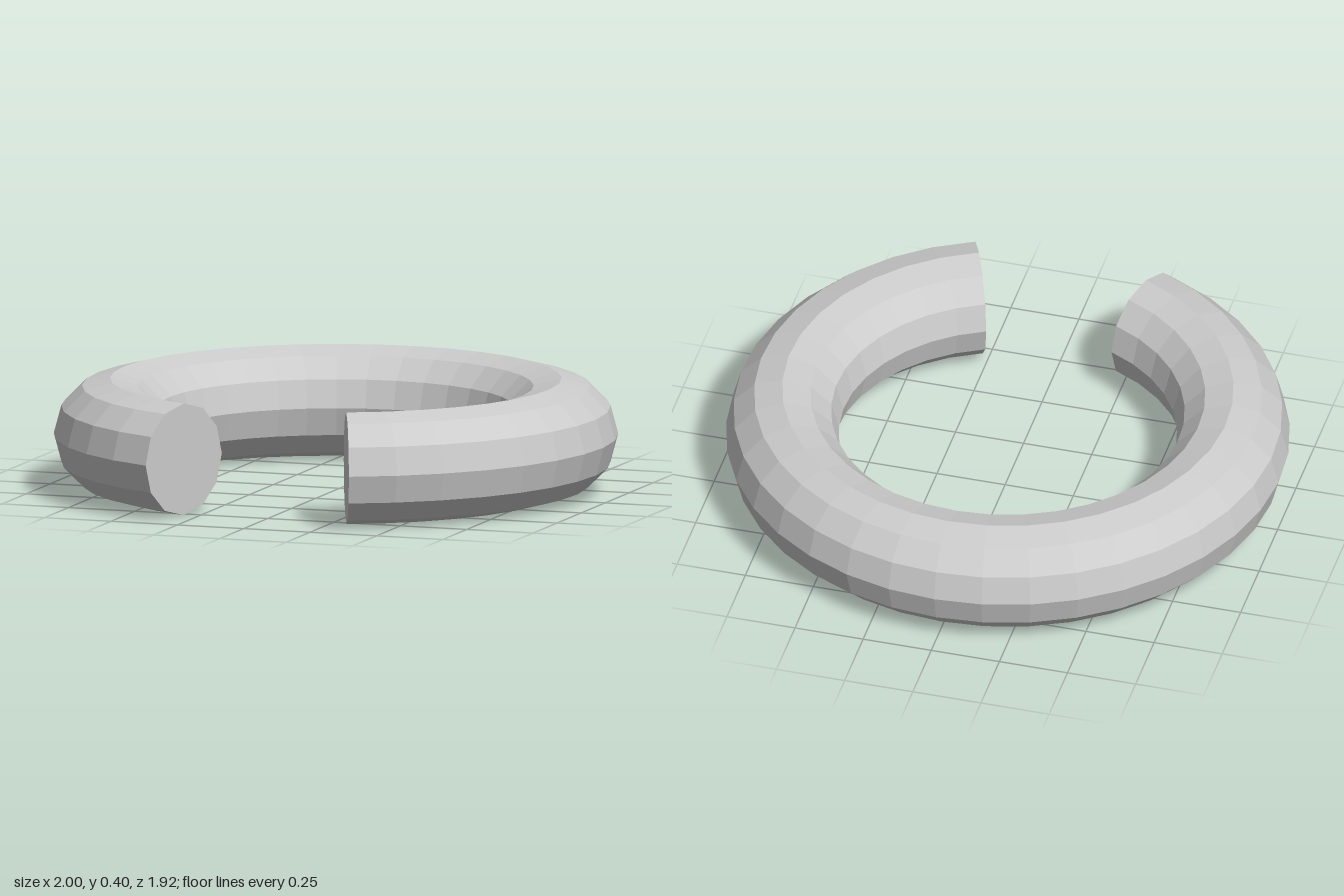
import * as THREE from 'three';

const RING = 0.8, TUBE = 0.2, SIDES = 12, SEGMENTS = 32;
const HALF_GAP = Math.PI / 8;
const CENTER_Z = 0.038;

export function createModel() {
  const group = new THREE.Group();
  group.name = 'openRing';
  const material = new THREE.MeshStandardMaterial({ color: 0xcccccc, flatShading: true });

  // Ring lying flat, with its gap centred on the front
  const arc = Math.PI * 2 - HALF_GAP * 2;
  const ringGeometry = new THREE.TorusGeometry(RING, TUBE, SIDES, SEGMENTS, arc)
    .rotateZ(Math.PI / 2 + HALF_GAP)
    .rotateX(Math.PI / 2);
  const ring = new THREE.Mesh(ringGeometry, material);
  ring.name = 'ring';
  ring.position.set(0, TUBE, CENTER_Z);
  group.add(ring);

  // Flat end caps facing into the gap
  for (const side of [1, -1]) {
    const angle = side * HALF_GAP;
    const cap = new THREE.Mesh(new THREE.CircleGeometry(TUBE, SIDES), material);
    cap.name = side > 0 ? 'leftEndCap' : 'rightEndCap';
    cap.position.set(RING * Math.sin(angle), TUBE, CENTER_Z + RING * Math.cos(angle));
    cap.rotation.y = angle - side * Math.PI / 2;
    group.add(cap);
  }

  return group;
}
